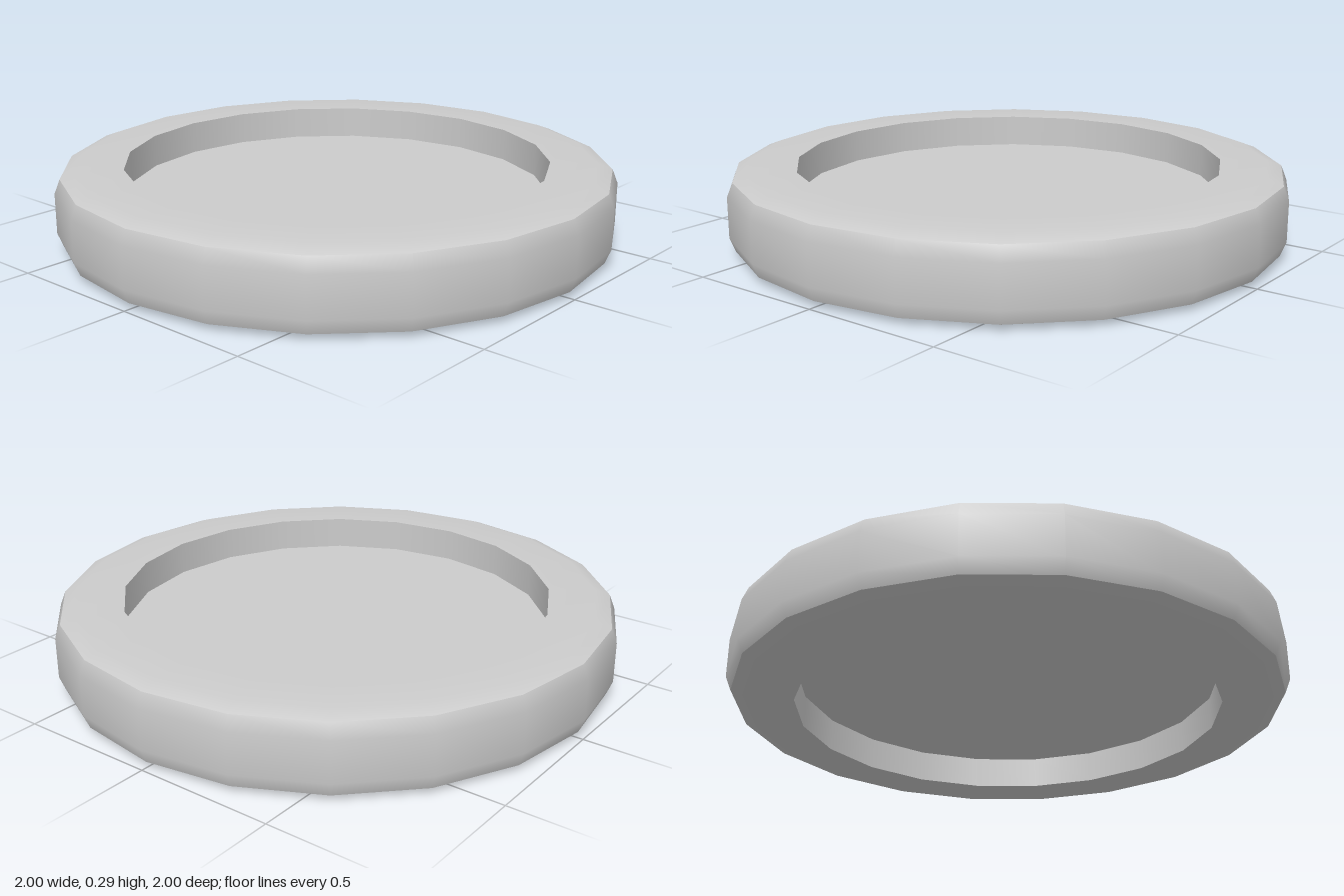
import * as THREE from 'three';

const SIDES = 20;
const HEIGHT = 0.286;
const INNER = 0.76;
const RECESS = 0.118;

export function createModel() {
  const group = new THREE.Group();
  group.name = 'recessedDisc';
  const material = new THREE.MeshStandardMaterial({ color: 0xcccccc });

  // Each band is its own lathe, so normals are smooth within it and sharp between bands
  const addBand = (name, profile) => {
    const points = profile.map(([r, y]) => new THREE.Vector2(r, y));
    const mesh = new THREE.Mesh(new THREE.LatheGeometry(points, SIDES), material);
    mesh.name = name;
    group.add(mesh);
  };
  // Mirrors a profile top to bottom, reversed so that its faces still point outwards
  const flip = (profile) => profile.map(([r, y]) => [r, HEIGHT - y]).reverse();

  // Outer wall with softened upper and lower edges
  const upperWall = [[1, 0.215], [0.98, 0.265]];
  addBand('outerWall', [...flip(upperWall), ...upperWall]);

  // Rim faces and recess walls, top and bottom
  const rim = [[0.98, 0.265], [0.925, HEIGHT], [INNER, HEIGHT]];
  const wall = [[INNER, HEIGHT], [INNER, HEIGHT - RECESS]];
  addBand('topRim', rim);
  addBand('topRecessWall', wall);
  addBand('bottomRim', flip(rim));
  addBand('bottomRecessWall', flip(wall));

  // Thin plate closing the middle of the ring
  const plate = new THREE.Mesh(
    new THREE.CylinderGeometry(INNER, INNER, HEIGHT - 2 * RECESS, SIDES), material);
  plate.name = 'centrePlate';
  plate.position.y = HEIGHT / 2;
  group.add(plate);

  return group;
}
